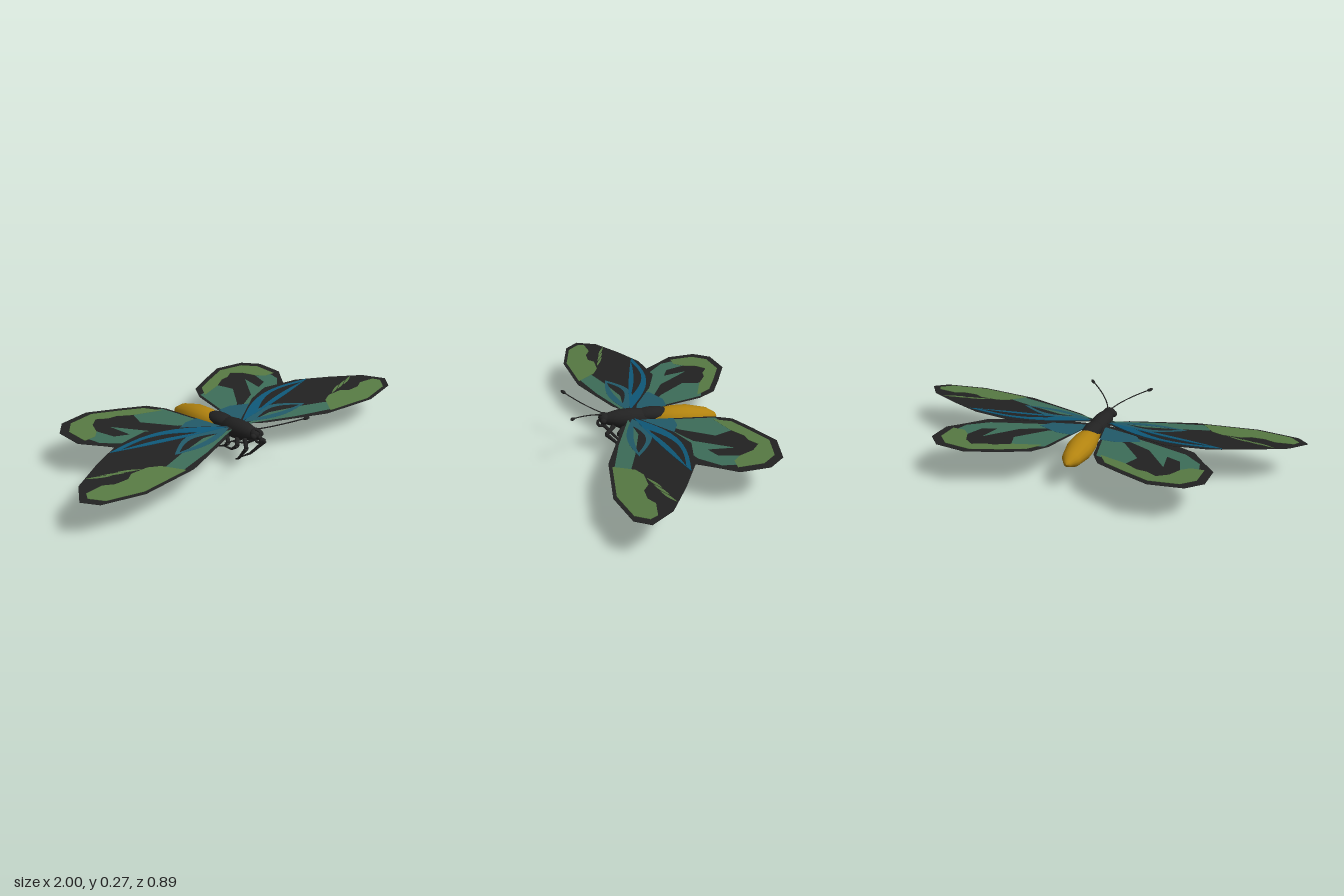
import * as THREE from 'three';

const mat = (name, color) => {
  const m = new THREE.MeshStandardMaterial({ color });
  m.name = name;
  return m;
};

const mix = ([ax, az], [bx, bz], t) => [ax + (bx - ax) * t, az + (bz - az) * t];

// Pull outline points towards a centre
const inset = (points, centre, k) => points.map(p => mix(p, centre, k));

// Streak from a to b, bulging by l towards the front edge and r towards the back
const lens = (a, b, l, r) => {
  const [dx, dz] = [b[0] - a[0], b[1] - a[1]], len = Math.hypot(dx, dz), n = 10, out = [];
  for (let i = 0; i < 2 * n; i++) {
    const t = i <= n ? i / n : 2 - i / n;
    const off = Math.sin(Math.PI * t) * (i <= n ? l : -r) / len;
    const [x, z] = mix(a, b, t);
    out.push([x + dz * off, z - dx * off]);
  }
  return out;
};

// Streak with an open middle, leaving a band of width w: [outline, hole]
const ring = (a, b, l, r, w) => [lens(a, b, l, r), lens(mix(a, b, 0.22), mix(a, b, 0.92), l - w, r - w)];

export function createModel() {
  const black = mat('black', 0x222222);
  const gold = mat('gold', 0xb2830f);
  const leaf = mat('leafGreen', 0x577a43);
  const teal = mat('tealGreen', 0x3d6d59);
  const petrol = mat('petrolBlue', 0x225a69);
  const blue = mat('blue', 0x0e5878);
  const model = new THREE.Group();

  const add = (parent, name, geometry, material, x = 0, y = 0, z = 0) => {
    const m = new THREE.Mesh(geometry, material);
    m.name = name;
    m.position.set(x, y, z);
    parent.add(m);
    return m;
  };

  // Thin plate: outline in [x, z], laid flat and tilted by the wing's height rule
  const plate = (points, side, height, level, hole) => {
    const vec = list => list.map(([x, z]) => new THREE.Vector2(x * side, -z));
    const shape = new THREE.Shape(vec(points));
    if (hole) shape.holes.push(new THREE.Path(vec(hole)));
    const half = 0.001 + level * 0.0009;
    const g = new THREE.ExtrudeGeometry(shape, { depth: 2 * half, bevelEnabled: false });
    g.rotateX(-Math.PI / 2);
    const p = g.attributes.position;
    for (let i = 0; i < p.count; i++) {
      p.setY(i, p.getY(i) - half + height(Math.abs(p.getX(i)), p.getZ(i)));
    }
    g.computeVertexNormals();
    return g;
  };

  // Turned body part running backwards, profile in [radius, distance]
  const turned = (profile, tall) => new THREE.LatheGeometry(profile.map(p => new THREE.Vector2(...p)), 16)
    .rotateX(-Math.PI / 2).scale(1, tall, 1);

  const ball = (parent, name, rx, ry, rz, x, y, z) =>
    add(parent, name, new THREE.SphereGeometry(1, 14, 10).scale(rx, ry, rz), black, x, y, z);

  // Body
  const thorax = turned([[0, 0], [0.022, 0.005], [0.042, 0.08], [0.047, 0.14], [0.042, 0.24], [0, 0.25]], 1.03);
  add(model, 'thorax', thorax, black, 0, 0.17, 0.275).rotation.x = -0.07;
  const abdomen = turned([[0, 0], [0.04, 0.005], [0.06, 0.11], [0.063, 0.18], [0.045, 0.28], [0.018, 0.325], [0, 0.335]], 0.9);
  add(model, 'abdomen', abdomen, gold, 0, 0.155, 0.04).rotation.x = -0.075;
  ball(model, 'abdomenSaddle', 0.044, 0.034, 0.09, 0, 0.173, 0.03);

  // Head and coiled tongue
  ball(model, 'head', 0.031, 0.025, 0.027, 0, 0.175, 0.262);
  const tongue = new THREE.TorusGeometry(0.017, 0.007, 6, 12).rotateY(Math.PI / 2);
  add(model, 'coiledTongue', tongue, black, 0, 0.15, 0.276);

  const foreHeight = (x, z) => 0.189 - 0.1 * z + 0.012 * x;
  const hindHeight = (x, z) => 0.168 - 0.05 * z;

  const foreOutline = [[0.02, 0.13], [0.26, -0.016], [0.4, -0.064], [0.6, -0.03], [0.77, 0.053], [0.93, 0.145],
    [1, 0.245], [0.945, 0.31], [0.743, 0.353], [0.444, 0.32], [0.29, 0.262], [0.13, 0.2]];
  const hindOutline = [[0.02, 0.13], [0.05, 0.05], [0.112, -0.24], [0.165, -0.325], [0.29, -0.385], [0.44, -0.45],
    [0.6, -0.425], [0.668, -0.348], [0.668, -0.21], [0.594, -0.118], [0.53, -0.03], [0.3, 0.08]];

  const forewing = (parent, side) => {
    const patch = (name, material, level, outline, hole) =>
      add(parent, name, plate(outline, side, foreHeight, level, hole), material);
    patch('forewing', black, 0, foreOutline);
    patch('forewingTip', leaf, 2, [...inset(foreOutline.slice(6, 10), [0.7, 0.24], 0.14),
      [0.545, 0.22], [0.6, 0.195], [0.69, 0.195], [0.73, 0.222], [0.8, 0.222], [0.85, 0.198], [0.94, 0.21]]);
    patch('forewingTrailingBand', teal, 1,
      [[0.52, 0.31], [0.53, 0.235], [0.4, 0.19], [0.22, 0.14], [0.05, 0.155], [0.29, 0.245]]);
    patch('forewingInnerBand', petrol, 2, ...ring([0.05, 0.135], [0.43, 0.18], 0.075, 0.04, 0.03));
    patch('forewingLoop', blue, 3, ...ring([0.05, 0.125], [0.65, 0], 0.08, 0.01, 0.025));
    // Flecks near the tip
    for (let i = 0; i < 3; i++) {
      const x = 0.87 - i * 0.065, z = 0.115 + i * 0.015;
      patch('forewingFleck', leaf, 1, lens([x, z], [x - 0.11, z + 0.045], 0.007, 0.006));
    }
  };

  const hindwing = (parent, side) => {
    const patch = (name, material, level, outline) =>
      add(parent, name, plate(outline, side, hindHeight, level), material);
    patch('hindwing', black, 0, hindOutline);
    patch('hindwingMargin', leaf, 2, [...inset(hindOutline.slice(3, 9), [0.38, -0.22], 0.14),
      [0.567, -0.214], [0.53, -0.25], [0.5, -0.32], [0.45, -0.36], [0.4, -0.33], [0.353, -0.325], [0.278, -0.28], [0.145, -0.235]]);
    patch('hindwingInnerStreak', teal, 1, [[0.06, 0.05], [0.13, -0.25], [0.28, -0.29], [0.31, -0.2], [0.2, -0.06]]);
    patch('hindwingOuterStreak', teal, 1, [[0.06, 0.05], [0.33, -0.09], [0.45, -0.25], [0.43, -0.13], [0.5, -0.16],
      [0.53, -0.26], [0.61, -0.24], [0.59, -0.15], [0.5, -0.07], [0.1, 0.07]]);
    patch('hindwingRoot', petrol, 2, [[0.04, 0.1], [0.075, -0.06], [0.15, -0.06], [0.26, -0.01], [0.22, 0.05]]);
  };

  // Leg of three tapering segments
  const leg = (parent, name, side, ...joints) => {
    const pts = joints.map(([x, y, z]) => new THREE.Vector3(x * side, y, z));
    const radii = [0.011, 0.01, 0.006, 0.002];
    for (let i = 0; i < 3; i++) {
      const d = pts[i + 1].clone().sub(pts[i]);
      const m = add(parent, name, new THREE.CylinderGeometry(radii[i + 1], radii[i], d.length(), 7), black);
      m.position.copy(pts[i]).addScaledVector(d, 0.5);
      m.quaternion.setFromUnitVectors(new THREE.Vector3(0, 1, 0), d.normalize());
    }
  };

  for (const side of [1, -1]) {
    const half = new THREE.Group();
    half.name = side > 0 ? 'leftSide' : 'rightSide';
    model.add(half);

    forewing(half, side);
    hindwing(half, side);
    ball(half, 'eye', 0.016, 0.016, 0.016, side * 0.022, 0.168, 0.268);

    // Antenna with a clubbed end
    const path = new THREE.QuadraticBezierCurve3(new THREE.Vector3(side * 0.01, 0.195, 0.265),
      new THREE.Vector3(side * 0.045, 0.222, 0.345), new THREE.Vector3(side * 0.16, 0.259, 0.436));
    add(half, 'antenna', new THREE.TubeGeometry(path, 16, 0.003, 6), black);
    const club = ball(half, 'antennaClub', 0.008, 0.016, 0.008, side * 0.155, 0.257, 0.431);
    club.quaternion.setFromUnitVectors(new THREE.Vector3(0, 1, 0), path.getTangent(1));

    leg(half, 'frontLeg', side, [0.03, 0.14, 0.22], [0.062, 0.115, 0.262], [0.038, 0.035, 0.19], [0.006, 0.002, 0.137]);
    leg(half, 'middleLeg', side, [0.03, 0.13, 0.17], [0.065, 0.112, 0.205], [0.05, 0.075, 0.155], [0.03, 0.06, 0.07]);
    leg(half, 'hindLeg', side, [0.03, 0.13, 0.1], [0.068, 0.11, 0.15], [0.048, 0.075, 0.105], [0.025, 0.042, 0.032]);
  }
  return model;
}
